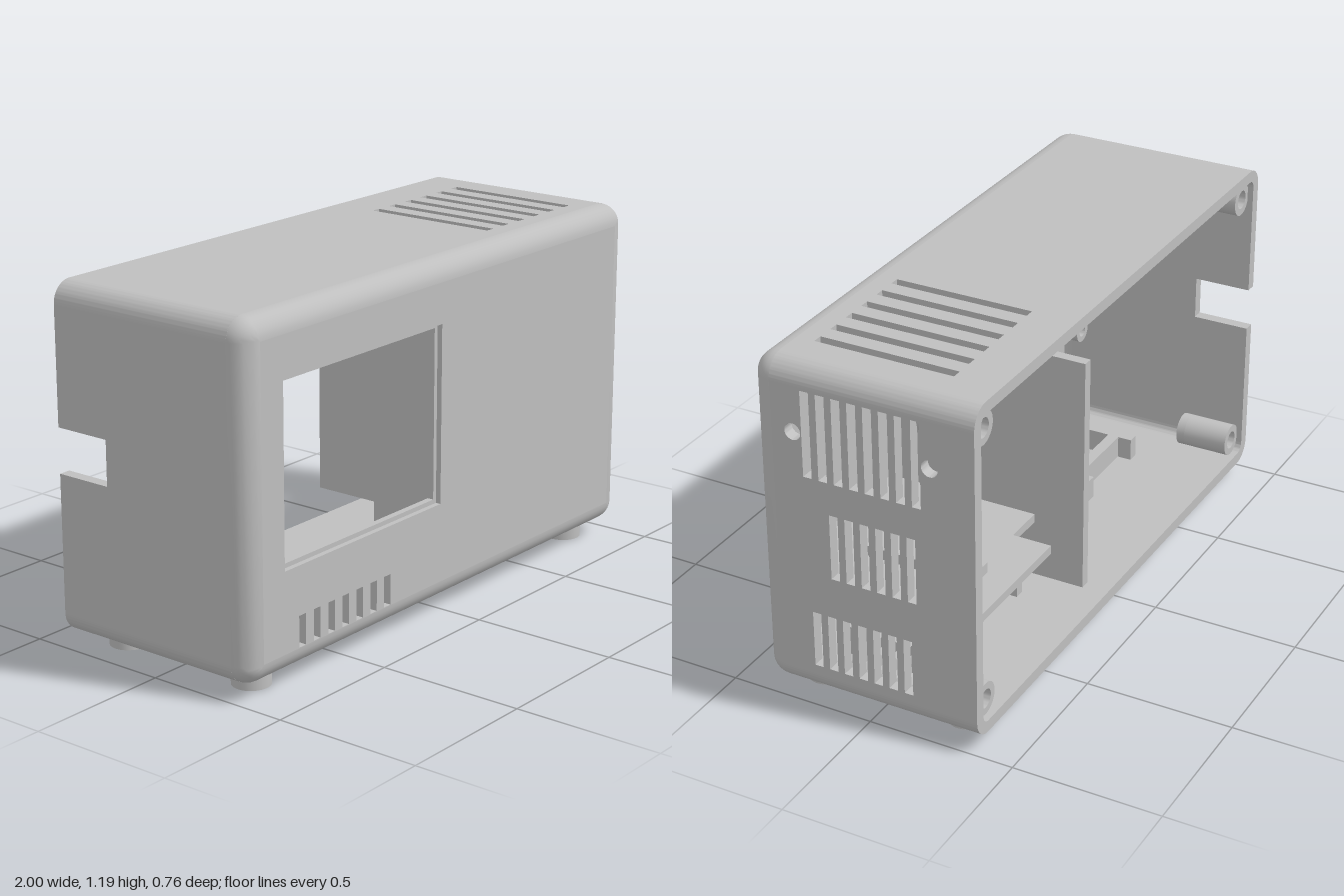
import * as THREE from 'three';
import { toCreasedNormals } from 'three/addons/utils/BufferGeometryUtils.js';

// Overall case: half width, bottom, top, half depth, wall thickness, edge radius
const W = 1, Y0 = 0.05, Y1 = 1.19, D = 0.38, T = 0.04, R = 0.07;

export function createModel() {
  const root = new THREE.Group();
  root.name = 'enclosure';
  const grey = new THREE.MeshStandardMaterial({ color: 0xbfbfbf });
  grey.name = 'matte grey';

  const add = (geo, name, parent = root) => {
    const mesh = new THREE.Mesh(geo, grey);
    mesh.name = name;
    parent.add(mesh);
    return mesh;
  };
  const group = (name) => {
    const g = new THREE.Group();
    g.name = name;
    root.add(g);
    return g;
  };
  const poly = (pts, Type = THREE.Shape) => new Type(pts.map(([x, y]) => new THREE.Vector2(x, y)));
  const corners = (a, b, c, d) => [[a, c], [b, c], [b, d], [a, d]];
  const rect = (...r) => poly(corners(...r));
  const slot = (...r) => poly(corners(...r), THREE.Path);
  const disc = (x, y, r, Type = THREE.Path) => new Type().absarc(x, y, r, 0, Math.PI * 2);
  const extrude = (shape, depth) => toCreasedNormals(
    new THREE.ExtrudeGeometry(shape, { depth, bevelEnabled: false, curveSegments: 16 }), 0.6);
  // Box given by its limits
  const box = (x0, x1, y0, y1, z0, z1, name, parent) =>
    add(new THREE.BoxGeometry(x1 - x0, y1 - y0, z1 - z0), name, parent)
      .position.set((x0 + x1) / 2, (y0 + y1) / 2, (z0 + z1) / 2);
  // Wall in the z-y plane whose outer (+x) face lies at x
  const sideWall = (shape, x, depth, name) =>
    add(extrude(shape, depth).rotateY(-Math.PI / 2).translate(x, 0, 0), name);
  // Wall in the x-z plane whose upper face lies at y
  const flatWall = (shape, y, depth, name) =>
    add(extrude(shape, depth).rotateX(Math.PI / 2).translate(0, y, 0), name);

  // Front panel with a stepped window and a row of vents
  const ledge = 0.362;
  const front = (x0, x1, y0, y1) => {
    const s = rect(-W + R, W - R, Y0 + R, Y1 - R);
    s.holes.push(slot(x0, x1, y0, y1));
    for (let i = 0; i < 7; i++) {
      const x = -0.765 + i * 0.0695;
      s.holes.push(slot(x, x + 0.032, 0.122, 0.225));
    }
    return s;
  };
  add(extrude(front(-0.83, -0.055, 0.387, 0.985), D - ledge).translate(0, 0, ledge), 'frontPanel');
  add(extrude(front(-0.815, -0.07, 0.402, 0.972), ledge - D + T).translate(0, 0, D - T), 'windowLedgePanel');

  // Vented wall on the left side, with two round holes
  const vented = rect(-D, D - R, Y0 + R, Y1 - R);
  for (const [n, start, y0, y1] of [[8, 0.205, 0.82, 1.11], [6, 0.12, 0.485, 0.71], [7, 0.193, 0.15, 0.345]]) {
    for (let i = 0; i < n; i++) {
      const z = start - i * 0.0535;
      vented.holes.push(slot(z - 0.03, z, y0, y1));
    }
  }
  vented.holes.push(disc(0.236, 0.965, 0.028), disc(-0.231, 0.965, 0.028));
  sideWall(vented, W, T, 'ventedSideWall');

  // Opposite wall with a cable notch at its rear edge
  sideWall(poly([[-D, Y0 + R], [D - R, Y0 + R], [D - R, Y1 - R], [-D, Y1 - R],
    [-D, 0.73], [-0.18, 0.73], [-0.18, 0.58], [-D, 0.58]]), -W + T, T, 'notchedSideWall');

  // Top and floor with vents
  const top = rect(-W + R, W - R, -D, D - R);
  for (let i = 0; i < 6; i++) {
    const x = 0.362 + i * 0.0888;
    top.holes.push(slot(x, x + 0.034, -0.225, 0.25));
  }
  flatWall(top, Y1, T, 'topWall');
  const floor = rect(-W + R, W - R, -D, D - R);
  for (let i = 0; i < 7; i++) {
    const z = 0.193 - i * 0.0535;
    floor.holes.push(slot(0.7, 0.9, z - 0.03, z));
  }
  flatWall(floor, Y0 + T, T, 'floor');

  // Rounded long corners running front to back
  const long = group('roundedCorners');
  [[1, 1], [-1, 1], [-1, -1], [1, -1]].forEach(([sx, sy], i) => {
    const cx = sx * (W - R), cy = sy > 0 ? Y1 - R : Y0 + R, a = i * Math.PI / 2;
    const s = new THREE.Shape();
    s.absarc(cx, cy, R, a, a + Math.PI / 2, false);
    s.absarc(cx, cy, R - T, a + Math.PI / 2, a, true);
    add(extrude(s, 2 * D - R).translate(0, 0, -D), 'corner', long);
  });

  // Rounded front edge: a closed profile of [inset, z] swept round the outline
  const profile = [];
  for (let i = 0; i <= 8; i++) {
    const a = i / 8 * Math.PI / 2;
    profile.push([R * (1 - Math.cos(a)), D - R + R * Math.sin(a)]);
  }
  profile.push([R, D - T], [T, D - T], [T, D - R]);
  const outline = [];
  [[1, 1], [-1, 1], [-1, -1], [1, -1]].forEach(([sx, sy], k) => {
    for (let i = 0; i <= 8; i++) {
      outline.push([sx * (W - R), sy > 0 ? Y1 - R : Y0 + R, (k + i / 8) * Math.PI / 2]);
    }
  });
  const pos = [], index = [], P = profile.length, N = outline.length;
  for (const [x, y, a] of outline) {
    for (const [d, z] of profile) pos.push(x + (R - d) * Math.cos(a), y + (R - d) * Math.sin(a), z);
  }
  for (let i = 0; i < N; i++) {
    for (let j = 0; j < P; j++) {
      const a = i * P + j, b = ((i + 1) % N) * P + j;
      const c = ((i + 1) % N) * P + (j + 1) % P, d = i * P + (j + 1) % P;
      index.push(a, b, c, a, c, d);
    }
  }
  const edge = new THREE.BufferGeometry();
  edge.setAttribute('position', new THREE.Float32BufferAttribute(pos, 3));
  edge.setIndex(index);
  add(toCreasedNormals(edge.toNonIndexed(), 0.6), 'roundedFrontEdge');

  // Feet
  const feet = group('feet');
  for (const x of [-0.845, 0.84]) for (const z of [-0.255, 0.255]) {
    add(new THREE.CylinderGeometry(0.063, 0.063, 0.06, 32), 'foot', feet).position.set(x, 0.03, z);
  }

  // Hollow screw posts: blind bore open to the rear, solid at the front end
  const post = (x, y, z0, z1, r, bore, name, parent) => {
    const ring = disc(x, y, r, THREE.Shape);
    ring.holes.push(disc(x, y, bore));
    const zm = z1 - 0.03;
    add(extrude(ring, zm - z0).translate(0, 0, z0), name, parent);
    add(extrude(disc(x, y, r, THREE.Shape), z1 - zm).translate(0, 0, zm), name + 'End', parent);
  };
  const bosses = group('cornerBosses');
  for (const x of [-0.91, 0.91]) for (const y of [0.15, 1.09]) {
    post(x, y, -0.36, -0.17, 0.056, 0.032, 'cornerBoss', bosses);
  }
  const standoffs = group('displayStandoffs');
  for (const x of [-0.885, 0.165]) for (const y of [0.46, 0.89]) {
    post(x, y, 0.23, D - T, 0.042, 0.022, 'standoff', standoffs);
  }

  // Divider with a shorter tongue reaching the rear
  sideWall(poly([[D - T, Y0 + T], [D - T, Y1 - T], [-0.13, Y1 - T], [-0.13, 1.01],
    [-0.37, 1.01], [-0.37, 0.2], [-0.13, 0.2], [-0.13, Y0 + T]].reverse()), 0.285, 0.035, 'divider');

  // Shelf between divider and vented wall, cut back beside the divider
  flatWall(poly([[0.28, D - T], [0.28, -0.195], [0.43, -0.195], [0.43, -0.33],
    [W - T, -0.33], [W - T, D - T]]), 0.425, 0.03, 'shelf');
  const holder = group('shelfHolder');
  box(0.66, 0.75, 0.425, 0.46, -0.23, 0.155, 'holderBase', holder);
  box(0.66, 0.70, 0.46, 0.735, -0.19, -0.03, 'holderUpright', holder);

  // Small clips on the floor under the shelf
  const clips = group('floorClips');
  for (const [z0, z1] of [[-0.105, -0.07], [0.128, 0.165]]) {
    box(0.80, 0.86, 0.09, 0.22, z0, z1, 'clip', clips);
    box(0.86, W - T, 0.09, 0.12, z0, z1, 'clipRail', clips);
  }

  // Open tray behind the front vents
  const tray = group('connectorTray');
  box(-0.745, -0.37, 0.09, 0.17, -0.01, 0.03, 'trayBar', tray);
  box(-0.41, -0.37, 0.09, 0.17, -0.06, 0.17, 'trayRib', tray);
  box(-0.745, -0.705, 0.09, 0.17, -0.06, 0.17, 'trayRib', tray);

  return root;
}
